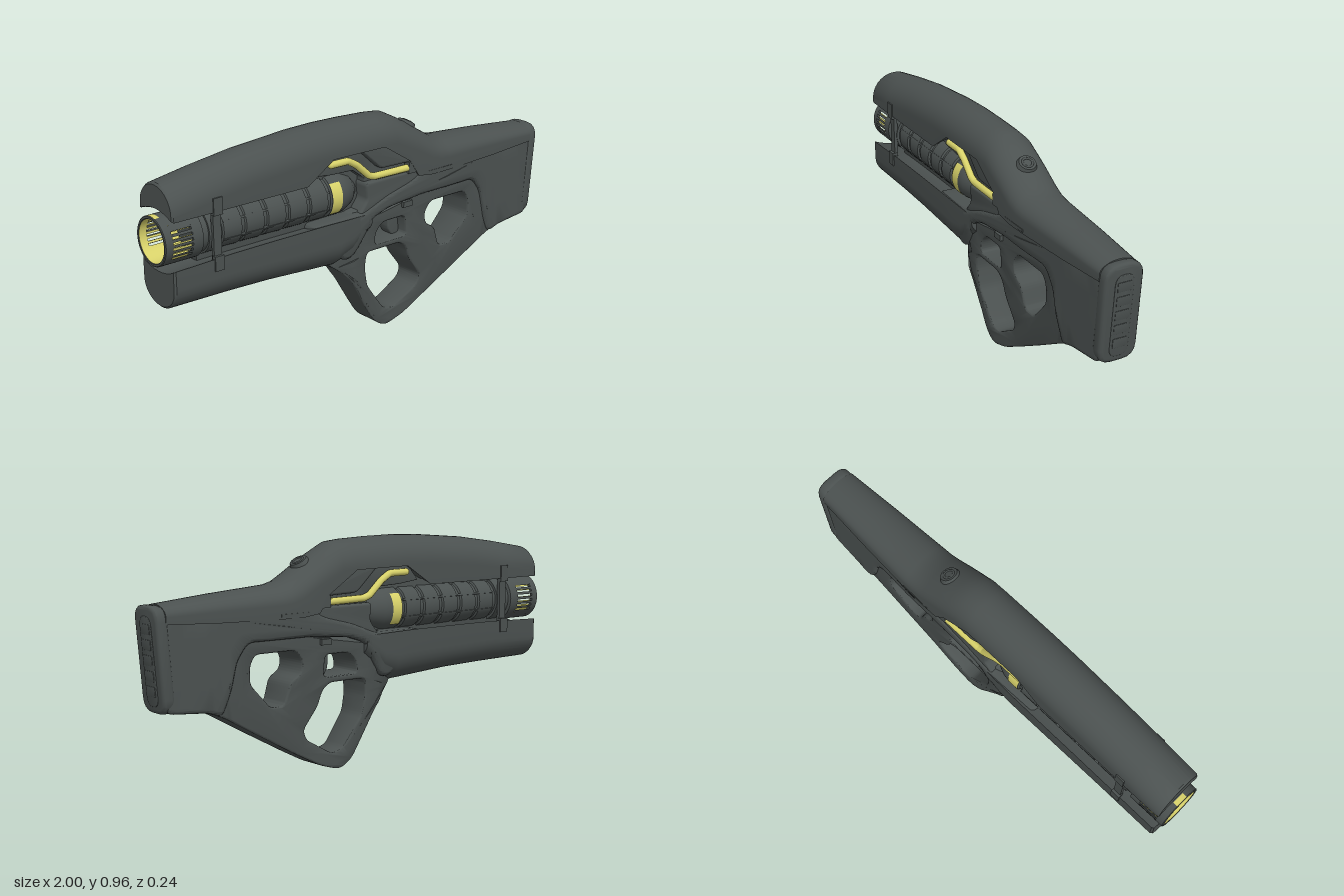
import * as THREE from 'three';
import { toCreasedNormals } from 'three/addons/utils/BufferGeometryUtils.js';

const material = (name, color, side = THREE.FrontSide) => {
  const m = new THREE.MeshStandardMaterial({ color, side });
  m.name = name;
  return m;
};
const dark = material('dark grey polymer', 0x4b5150);
const darkThin = material('dark grey thin wall', 0x4b5150, THREE.DoubleSide);
const yellow = material('yellow accent', 0xd8d26a, THREE.DoubleSide);

const AXIS_Y = 0.646; // height of the barrel axis
const clamp = THREE.MathUtils.clamp, lerp = THREE.MathUtils.lerp;

// closed path with softened corners
function roundPath(path, pts, r) {
  const n = pts.length, P = pts.map(p => new THREE.Vector2(...p));
  P.forEach((c, i) => {
    const a = P[(i + n - 1) % n], b = P[(i + 1) % n];
    const toward = q => c.clone().lerp(q, Math.min(0.45, r / c.distanceTo(q)));
    const s = toward(a), e = toward(b);
    if (i === 0) path.moveTo(s.x, s.y); else path.lineTo(s.x, s.y);
    path.quadraticCurveTo(c.x, c.y, e.x, e.y);
  });
  path.closePath();
  return path;
}

// side outline extruded across z, centred, with half width w and bevel b; holes run clockwise
function slab(pts, w, b, r = 0.02, holes = []) {
  const shape = roundPath(new THREE.Shape(), pts, r);
  holes.forEach(h => shape.holes.push(roundPath(new THREE.Path(), [...h].reverse(), 0.022)));
  const g = new THREE.ExtrudeGeometry(shape, {
    depth: 2 * (w - b), bevelEnabled: true, bevelThickness: b, bevelSize: b, bevelOffset: -b,
    bevelSegments: 3, curveSegments: 4,
  });
  return g.translate(0, 0, b - w);
}

// split every triangle into four
function subdivide(g) {
  const p = g.attributes.position, out = [];
  const v = i => new THREE.Vector3().fromBufferAttribute(p, i);
  for (let i = 0; i < p.count; i += 3) {
    const a = v(i), b = v(i + 1), c = v(i + 2);
    const ab = a.clone().lerp(b, 0.5), bc = b.clone().lerp(c, 0.5), ca = c.clone().lerp(a, 0.5);
    [a, ab, ca, ab, b, bc, ca, bc, c, ab, bc, ca].forEach(q => out.push(q.x, q.y, q.z));
  }
  return new THREE.BufferGeometry().setAttribute('position', new THREE.Float32BufferAttribute(out, 3));
}

// scale the thickness of a slab by a rule of x and y
function taper(g, rule) {
  const p = g.attributes.position;
  for (let i = 0; i < p.count; i++) p.setZ(i, p.getZ(i) * rule(p.getX(i), p.getY(i)));
  return g;
}

// domed shell lofted along x; rows are [x, outerY, innerY, halfWidth, domeHeight]
function shell(rows, dir, lift) {
  const pos = [], idx = [], A = 18, B = 8, m = A + B + 2;
  rows.forEach(([x, outer, inner, w, arc]) => {
    const ring = [];
    for (let j = 0; j <= A; j++) {
      const t = Math.PI * j / A;
      ring.push([x, outer + dir * arc * (Math.sin(t) - 1), w * Math.cos(t)]);
    }
    for (let j = 0; j <= B; j++) {
      const s = -1 + 2 * j / B;
      ring.push([x, inner + dir * lift * (1 - s * s), w * s]);
    }
    if (dir < 0) ring.reverse();
    ring.forEach(p => pos.push(...p));
  });
  for (let i = 0; i < rows.length - 1; i++) for (let j = 0; j < m; j++) {
    const a = i * m + j, a2 = i * m + (j + 1) % m;
    idx.push(a, a + m, a2, a + m, a2 + m, a2);
  }
  [0, rows.length - 1].forEach(i => {
    const c = pos.length / 3, row = rows[i];
    pos.push(row[0], (row[1] + row[2]) / 2 + dir * lift * 0.5, 0);
    for (let j = 0; j < m; j++) {
      const a = i * m + j, b = i * m + (j + 1) % m;
      if (i === 0) idx.push(c, a, b); else idx.push(c, b, a);
    }
  });
  const g = new THREE.BufferGeometry();
  g.setAttribute('position', new THREE.Float32BufferAttribute(pos, 3));
  g.setIndex(idx);
  return g;
}

// half width of the body, narrowing downwards and towards the butt
function bodyWidth(x, y) {
  const wy = lerp(0.075, 0.108, clamp((y - 0.3) / 0.18, 0, 1));
  const wx = lerp(0.108, 0.079, clamp((x - 0.42) / 0.53, 0, 1));
  return lerp(Math.min(wy, wx), wx, clamp((x - 0.62) / 0.12, 0, 1));
}

// half width of the grip, narrowing downwards and blending into the fore-end
function gripWidth(x, y) {
  return lerp(0.064, 0.082, clamp((y - 0.1) / 0.3, 0, 1)) * clamp((x + 0.24) / 0.15, 0.3, 1);
}

export function createModel() {
  const group = new THREE.Group();
  const add = (name, geo, mat = dark, crease = 0.6) => {
    const mesh = new THREE.Mesh(crease ? toCreasedNormals(geo, crease) : geo, mat);
    mesh.name = name;
    group.add(mesh);
  };
  const box = (name, x, y, z, sx, sy, sz) => add(name, new THREE.BoxGeometry(sx, sy, sz).translate(x, y, z));
  // surface of revolution about the barrel axis; points are [x, radius]
  const turned = (name, pts) => add(name,
    new THREE.LatheGeometry(pts.map(([x, r]) => new THREE.Vector2(r, x)), 40).rotateZ(-Math.PI / 2).translate(0, AXIS_Y, 0));
  // part of a thin tube about the barrel axis; angle 0 faces +z
  const wall = (name, x0, x1, r, mat, start = 0, len = Math.PI * 2) => add(name,
    new THREE.CylinderGeometry(r, r, x1 - x0, Math.max(2, Math.ceil(len * 7)), 1, true, start, len)
      .rotateZ(Math.PI / 2).translate((x0 + x1) / 2, AXIS_Y, 0), mat, 0);

  // top cover running into the stock
  add('topCover', shell([
    [-0.975, 0.865, 0.748, 0.106, 0.095], [-0.967, 0.873, 0.743, 0.112, 0.108], [-0.8, 0.902, 0.743, 0.113, 0.115],
    [-0.6, 0.93, 0.743, 0.113, 0.115], [-0.34, 0.951, 0.743, 0.113, 0.115], [-0.21, 0.955, 0.828, 0.113, 0.115],
    [-0.08, 0.953, 0.827, 0.113, 0.115], [0.06, 0.947, 0.825, 0.113, 0.112], [0.13, 0.94, 0.78, 0.113, 0.112],
    [0.2, 0.904, 0.735, 0.113, 0.11], [0.25, 0.875, 0.66, 0.113, 0.105], [0.33, 0.825, 0.65, 0.113, 0.1],
    [0.38, 0.795, 0.65, 0.112, 0.085], [0.43, 0.781, 0.65, 0.111, 0.075], [0.7, 0.761, 0.655, 0.098, 0.06],
    [0.95, 0.738, 0.665, 0.084, 0.045],
  ], 1, 0.024));

  // rounded lower fore-end
  add('foreEnd', shell([
    [-0.975, 0.378, 0.544, 0.104, 0.085], [-0.967, 0.37, 0.549, 0.111, 0.1], [-0.7, 0.366, 0.557, 0.112, 0.11],
    [-0.5, 0.36, 0.558, 0.112, 0.11], [-0.25, 0.343, 0.557, 0.112, 0.12], [-0.17, 0.338, 0.555, 0.111, 0.12],
    [-0.1, 0.36, 0.553, 0.109, 0.11], [0, 0.45, 0.55, 0.106, 0.07],
  ], -1, 0.024));

  // wide body and stock, arched over the openings
  const body = slab([
    [-0.3, 0.557], [-0.05, 0.56], [0.08, 0.61], [0.22, 0.645], [0.3, 0.69], [0.7, 0.69], [0.965, 0.69],
    [0.945, 0.322], [0.76, 0.308], [0.7, 0.285], [0.665, 0.37], [0.635, 0.5], [0.585, 0.567], [0.28, 0.567],
    [0.09, 0.55], [0, 0.52], [-0.04, 0.44], [-0.08, 0.375], [-0.13, 0.36], [-0.2, 0.43], [-0.3, 0.5],
  ], 0.1, 0.018, 0.03);
  add('body', taper(subdivide(subdivide(body)), (x, y) => bodyWidth(x, y) / 0.1), dark, 0.7);

  // slimmer grip frame with trigger, grip and stock openings
  const triggerHole = [[0.034, 0.394], [0.042, 0.45], [0.08, 0.485], [0.2, 0.485], [0.21, 0.394]];
  const gripHole = [[-0.006, 0.368], [0.175, 0.368], [0.212, 0.34], [0.234, 0.275], [0.303, 0.183], [0.285, 0.14],
    [0.155, 0.068], [0.1, 0.08], [0.004, 0.212], [-0.014, 0.3]];
  const stockHole = [[0.315, 0.47], [0.35, 0.516], [0.545, 0.516], [0.57, 0.475], [0.57, 0.4], [0.468, 0.295],
    [0.405, 0.295], [0.375, 0.39], [0.322, 0.42]];
  const grip = slab([
    [-0.19, 0.54], [0.1, 0.6], [0.74, 0.6], [0.75, 0.305], [0.68, 0.275], [0.5, 0.175], [0.33, 0.083], [0.21, 0.022],
    [0.11, -0.006], [0.05, 0.03], [0.005, 0.1], [-0.07, 0.232], [-0.125, 0.302], [-0.18, 0.34], [-0.19, 0.43],
  ], 0.08, 0.008, 0.03, [triggerHole, gripHole, stockHole]);
  add('gripFrame', taper(subdivide(grip), (x, y) => gripWidth(x, y) / 0.08), dark, 0.7);
  add('trigger', slab([[0.148, 0.5], [0.22, 0.5], [0.22, 0.385], [0.175, 0.385], [0.15, 0.42]], 0.03, 0.006, 0.015));

  // spine behind the barrel, recessed core and raised side panels
  add('spine', slab([[-0.82, 0.5], [0, 0.5], [0, 0.8], [-0.82, 0.8]], 0.03, 0.003, 0.005));
  add('innerCore', slab([[-0.3, 0.762], [-0.22, 0.86], [0.1, 0.86], [0.35, 0.72], [0.35, 0.56], [0, 0.55], [-0.02, 0.6],
    [-0.02, 0.7], [-0.08, 0.745], [-0.2, 0.75]], 0.075, 0.004, 0.005));
  add('sidePanel', slab([[-0.03, 0.685], [0.3, 0.685], [0.3, 0.58], [0.02, 0.545], [-0.07, 0.55], [-0.02, 0.61]], 0.1, 0.01));
  add('upperPanel', slab([[-0.07, 0.84], [0.07, 0.84], [0.24, 0.725], [0.05, 0.73]], 0.1, 0.01));

  // hollow slotted muzzle with a yellow lining
  turned('muzzleLip', [[-0.965, 0.087], [-0.998, 0.087], [-1, 0.089], [-1, 0.097], [-0.997, 0.1], [-0.965, 0.1], [-0.965, 0.087]]);
  wall('liningFront', -0.998, -0.965, 0.0865, yellow);
  wall('lipMark', -0.998, -0.976, 0.1006, yellow, Math.PI / 2 - 0.27, 0.54);
  turned('muzzleRear', [[-0.875, 0.087], [-0.875, 0.1], [-0.83, 0.1], [-0.826, 0.087], [-0.8, 0.087], [-0.8, 0]]);
  wall('liningRear', -0.875, -0.83, 0.0865, yellow);
  turned('muzzleFloor', [[-0.83, 0], [-0.829, 0.0865]]);
  const pitch = 0.215, gap = 0.1, count = 6;
  [0, Math.PI].forEach(side => {
    for (let k = 0; k < count; k++) {
      const start = side + (k - (count - 1) / 2) * pitch + gap / 2;
      const len = (k < count - 1 ? pitch : Math.PI - (count - 1) * pitch) - gap;
      wall('muzzleBar', -0.965, -0.875, 0.1, darkThin, start, len);
      wall('liningBar', -0.965, -0.875, 0.0865, yellow, start, len);
    }
  });

  // ribbed barrel drum with a tapered tail
  const drum = [[-0.82, 0], [-0.82, 0.085], [-0.8, 0.085], [-0.8, 0.095], [-0.75, 0.095], [-0.75, 0.083]];
  for (let k = 0; k < 5; k++) {
    const x = -0.735 + k * 0.106;
    drum.push([x, 0.084], [x + 0.005, 0.09], [x + 0.088, 0.092], [x + 0.093, 0.084]);
  }
  drum.push([-0.205, 0.084], [-0.2, 0.092], [-0.14, 0.092], [-0.115, 0.088], [-0.07, 0.068], [-0.035, 0.035], [-0.025, 0]);
  turned('barrelDrum', drum);
  [0, Math.PI].forEach(a => {
    wall('yellowBand', -0.199, -0.148, 0.0945, yellow, a - 0.77, 1.54);
    [-0.42, 0.42].forEach(d => {
      const rail = new THREE.BoxGeometry(0.52, 0.008, 0.012).translate(-0.47, 0, 0.087).rotateX(a + d);
      add('drumRail', rail.translate(0, AXIS_Y, 0));
    });
  });

  // fittings repeated on both sides
  [-1, 1].forEach(s => {
    box('clampTop', -0.772, 0.765, s * 0.107, 0.042, 0.07, 0.022);
    box('clampBottom', -0.772, 0.535, s * 0.107, 0.042, 0.06, 0.022);
    box('clampStrap', -0.772, 0.65, s * 0.098, 0.036, 0.22, 0.016);
    box('stockVent', 0.37, 0.664, s * 0.107, 0.14, 0.012, 0.014);
    box('selector', 0.205, 0.54, s * 0.086, 0.05, 0.024, 0.02);
    const path = new THREE.CurvePath();
    const pts = [[-0.212, 0.802], [-0.125, 0.801], [-0.08, 0.775], [-0.015, 0.716], [0.015, 0.706], [0.19, 0.703]]
      .map(([x, y]) => new THREE.Vector3(x, y, s * 0.097));
    for (let i = 1; i < pts.length; i++) path.add(new THREE.LineCurve3(pts[i - 1], pts[i]));
    add('yellowRod', new THREE.TubeGeometry(path, 48, 0.015, 10), yellow, 0);
    [pts[0], pts[5]].forEach(q =>
      add('rodEnd', new THREE.SphereGeometry(0.015, 10, 8).translate(q.x, q.y, q.z), yellow, 0));
    box('rodSocket', 0.217, 0.705, s * 0.096, 0.045, 0.05, 0.03);
  });

  // low round button on the rear slope
  const button = new THREE.Group();
  button.name = 'rearButton';
  const base = new THREE.Mesh(new THREE.CylinderGeometry(0.036, 0.046, 0.024, 28), dark);
  const ring = new THREE.Mesh(new THREE.TorusGeometry(0.021, 0.005, 8, 28).rotateX(Math.PI / 2).translate(0, 0.011, 0), dark);
  base.name = 'buttonBase';
  ring.name = 'buttonRing';
  button.add(base, ring);
  button.position.set(0.272, 0.859, 0);
  button.rotation.z = -0.53;
  group.add(button);

  // slanted butt plate with a raised pad
  const plate = (name, w, y0, y1, x0, x1, r, b) => {
    const g = slab([[-w, y0], [w, y0], [w, y1], [-w, y1]], (x1 - x0) / 2, b, r).rotateY(Math.PI / 2);
    g.translate((x0 + x1) / 2, 0, 0);
    const q = g.attributes.position;
    for (let i = 0; i < q.count; i++) q.setX(i, q.getX(i) + (q.getY(i) - 0.52) * 0.09);
    add(name, g);
  };
  plate('buttPlate', 0.083, 0.318, 0.735, 0.925, 0.977, 0.06, 0.015);
  plate('buttPad', 0.04, 0.345, 0.695, 0.965, 0.98, 0.04, 0.003);
  for (let k = 0; k < 5; k++) plate('padRib', 0.03, 0.385 + k * 0.06, 0.425 + k * 0.06, 0.975, 0.982, 0.004, 0.001);
  return group;
}
